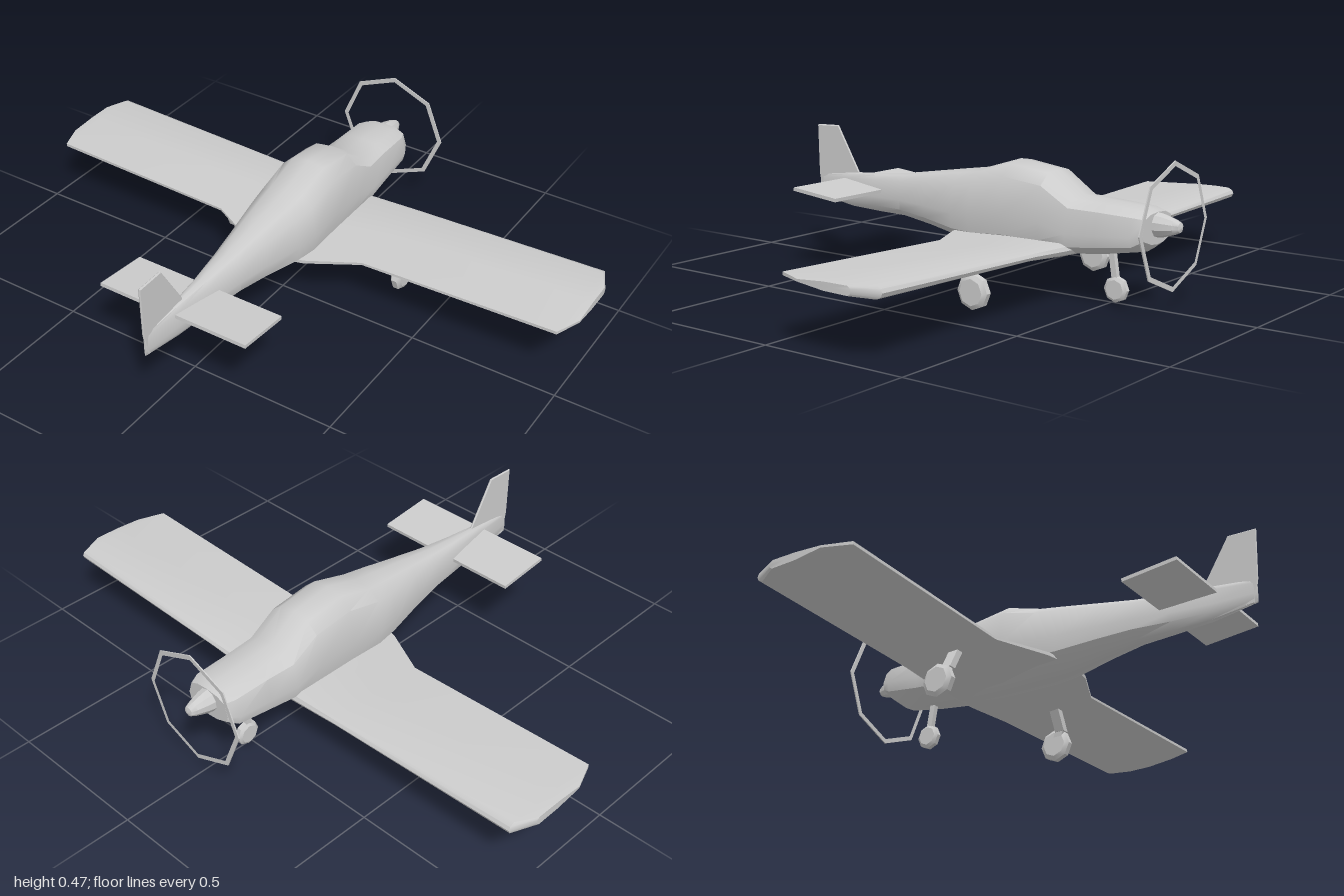
import * as THREE from 'three';
import { toCreasedNormals } from 'three/addons/utils/BufferGeometryUtils.js';

const material = new THREE.MeshStandardMaterial({ color: 0xcccccc });
const V = (x, y, z) => new THREE.Vector3(x, y, z);

// Closed skin through a row of equal-length rings; triangles are turned outward by signed volume.
function loft(rings, crease = 0.6) {
  const tris = [];
  const n = rings[0].length;
  for (let i = 0; i < rings.length - 1; i++) {
    for (let j = 0; j < n; j++) {
      const k = (j + 1) % n;
      const [a, b, c, d] = [rings[i][j], rings[i][k], rings[i + 1][j], rings[i + 1][k]];
      tris.push([a, b, d], [a, d, c]);
    }
  }
  const mid = (r) => r.reduce((s, p) => s.add(p), V(0, 0, 0)).divideScalar(n);
  const first = rings[0], last = rings[rings.length - 1];
  const m0 = mid(first), m1 = mid(last);
  for (let j = 0; j < n; j++) {
    const k = (j + 1) % n;
    tris.push([m0, first[k], first[j]], [m1, last[j], last[k]]);
  }
  const volume = tris.reduce((s, [a, b, c]) => s + a.dot(b.clone().cross(c)), 0);
  if (volume < 0) tris.forEach((t) => t.reverse());
  const geometry = new THREE.BufferGeometry().setFromPoints(tris.flat());
  return toCreasedNormals(geometry, crease);
}

function add(parent, name, geometry) {
  const mesh = new THREE.Mesh(geometry, material);
  mesh.name = name;
  parent.add(mesh);
  return mesh;
}

// Rectangular bar between two points, w wide in x and d deep in z.
function bar(a, b, w, d) {
  const ring = (p) => [[-1, -1], [1, -1], [1, 1], [-1, 1]].map(([i, j]) => V(p.x + i * w / 2, p.y, p.z + j * d / 2));
  return loft([ring(a), ring(b)], 0.3);
}

// Fuselage stations: z, bottom, top, half width
const stations = [
  [-0.66, 0.205, 0.305, 0.088], [-0.625, 0.178, 0.316, 0.105], [-0.5, 0.155, 0.325, 0.108],
  [-0.395, 0.142, 0.33, 0.115], [-0.295, 0.136, 0.402, 0.117], [-0.15, 0.131, 0.422, 0.118],
  [-0.02, 0.131, 0.382, 0.116], [0.06, 0.136, 0.37, 0.104], [0.2, 0.162, 0.348, 0.077],
  [0.32, 0.179, 0.329, 0.057], [0.45, 0.181, 0.316, 0.038], [0.58, 0.186, 0.307, 0.022],
  [0.735, 0.21, 0.29, 0.003],
];
// Half section, from top to bottom: fraction of half width, fraction of height
const section = [[0, 1], [0.5, 0.965], [0.84, 0.84], [1, 0.42], [0.93, 0.2], [0.42, 0.04], [0, 0]];

function fuselageRing([z, low, high, w]) {
  const half = section.map(([u, v]) => V(u * w, low + v * (high - low), z));
  const other = half.slice(1, -1).reverse().map((p) => V(-p.x, p.y, z));
  return [...half, ...other];
}

// Wing stations: x, leading z, trailing z, bottom, top
const wingStations = [
  [0.0, -0.405, 0.07, 0.14, 0.188], [0.11, -0.405, 0.045, 0.148, 0.19], [0.28, -0.405, -0.04, 0.164, 0.195],
  [0.965, -0.405, -0.04, 0.182, 0.221], [1.0, -0.325, -0.13, 0.188, 0.216],
];
// Wing section: fraction of chord, fraction of thickness
const airfoil = [[0, 0.5], [0.015, 0.8], [0.06, 1], [0.5, 0.97], [1, 0.72], [1, 0.45], [0.5, 0.05], [0.06, 0], [0.015, 0.2]];

export function createModel() {
  const model = new THREE.Group();
  model.name = 'lightAircraft';

  add(model, 'fuselage', loft(stations.map(fuselageRing), 0.75));

  for (const side of [1, -1]) {
    const label = side > 0 ? 'left' : 'right';
    const rings = wingStations.map(([x, z0, z1, y0, y1]) =>
      airfoil.map(([u, v]) => V(side * x, y0 + v * (y1 - y0), z0 + u * (z1 - z0))));
    add(model, label + 'Wing', loft(rings, 0.6));

    // Main landing gear
    const gear = new THREE.Group();
    gear.name = label + 'MainGear';
    model.add(gear);
    add(gear, 'leg', bar(V(side * 0.285, 0.178, -0.192), V(side * 0.325, 0.1, -0.192), 0.026, 0.036));
    add(gear, 'axleFork', bar(V(side * 0.325, 0.102, -0.195), V(side * 0.33, 0.055, -0.215), 0.022, 0.032));
    wheel(gear, side * 0.335, 0.058, -0.218, 0.057, 0.038);
  }

  // Nose gear
  const noseGear = new THREE.Group();
  noseGear.name = 'noseGear';
  model.add(noseGear);
  add(noseGear, 'strut', bar(V(0, 0.165, -0.5), V(0, 0.05, -0.518), 0.018, 0.02));
  wheel(noseGear, 0, 0.045, -0.517, 0.042, 0.03);

  // Tailplane, pitched slightly
  const tailplane = add(model, 'tailplane', new THREE.BoxGeometry(0.54, 0.012, 0.192));
  tailplane.position.set(0, 0.27, 0.51);
  tailplane.rotation.x = -0.1;

  // Fin and rudder: thin tapered plate
  const finOutline = [[0.744, 0.465], [0.645, 0.468], [0.55, 0.31], [0.56, 0.2], [0.725, 0.208], [0.74, 0.29]];
  const finRing = (x, s) => finOutline.map(([z, y]) => V(x, 0.34 + (y - 0.34) * s, 0.665 + (z - 0.665) * s));
  add(model, 'fin', loft([finRing(-0.004, 0.97), finRing(0, 1), finRing(0.004, 0.97)], 0.3));

  // Spinner
  const spinnerProfile = [[0, -0.02], [0.042, -0.02], [0.036, 0.02], [0.024, 0.06], [0.016, 0.078], [0, 0.084]];
  const spinner = add(model, 'spinner',
    toCreasedNormals(new THREE.LatheGeometry(spinnerProfile.map(([r, y]) => new THREE.Vector2(r, y)), 10), 0.6));
  spinner.rotation.x = -Math.PI / 2;
  spinner.position.set(0, 0.265, -0.66);

  // Propeller sweep: thin octagonal ring
  const corners = (r) => Array.from({ length: 8 }, (_, i) =>
    new THREE.Vector2(r * Math.sin(i * Math.PI / 4), r * Math.cos(i * Math.PI / 4)));
  const disc = new THREE.Shape(corners(0.2));
  disc.holes.push(new THREE.Path(corners(0.184)));
  const ring = add(model, 'propellerRing', new THREE.ExtrudeGeometry(disc, { depth: 0.004, bevelEnabled: false }));
  ring.position.set(0, 0.265, -0.716);

  return model;
}

// Eight-sided wheel with chamfered rims, turning about x
function wheel(parent, x, y, z, r, w) {
  const profile = [[0, -w / 2], [r * 0.75, -w / 2], [r, -w / 4], [r, w / 4], [r * 0.75, w / 2], [0, w / 2]];
  const geometry = new THREE.LatheGeometry(profile.map(([a, b]) => new THREE.Vector2(a, b)), 8);
  const mesh = add(parent, 'wheel', toCreasedNormals(geometry, 0.5));
  mesh.rotation.z = Math.PI / 2;
  mesh.position.set(x, y, z);
}
